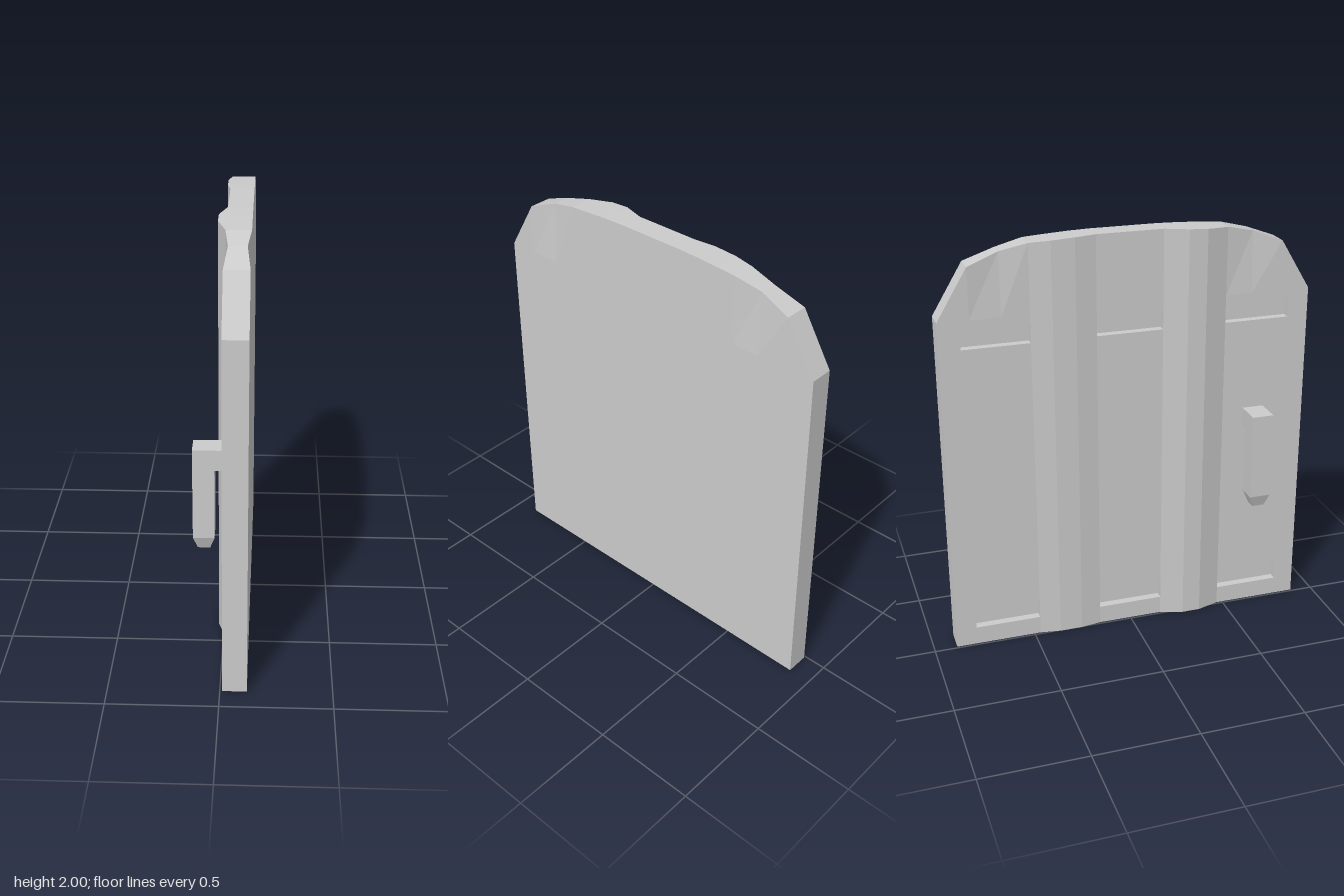
import * as THREE from 'three';

const material = new THREE.MeshStandardMaterial({ color: 0xcccccc, flatShading: true });

// Outline of the rounded top: [distance from centre, height]
const TOP = [[0, 2], [0.16, 2], [0.27, 1.997], [0.36, 1.992], [0.47, 1.985], [0.6, 1.955], [0.745, 1.9], [0.89, 1.66]];
// Ribbed face: [z, x]
const RIBS = [[-0.89, 0.01], [-0.47, 0.01], [-0.37, -0.005], [-0.26, -0.005], [-0.16, 0.01],
  [0.16, 0.01], [0.27, -0.025], [0.36, -0.025], [0.47, 0.01], [0.89, 0.01]];
const COLUMNS = [-0.89, -0.79, -0.745, -0.6, -0.47, -0.37, -0.26, -0.16,
  0.16, 0.27, 0.36, 0.47, 0.6, 0.745, 0.79, 0.89];
const SLOT_Z = [[-0.79, -0.47], [-0.16, 0.16], [0.47, 0.79]];
const SLOT_Y = [[0.09, 0.185], [1.525, 1.62]];
const FLAT = 0.12, FACE = 0.01, SLOT_FLOOR = 0.05;

function lerpTable(table, t) {
  for (let i = 1; i < table.length; i++) {
    const [a, va] = table[i - 1], [b, vb] = table[i];
    if (t <= b) return va + (vb - va) * (t - a) / (b - a);
  }
  return table[table.length - 1][1];
}

function quadGeometry(build) {
  const pos = [];
  const quad = (a, b, c, d, flip = false) => {
    if (flip) [a, b, c, d] = [d, c, b, a];
    pos.push(...a, ...b, ...c, ...a, ...c, ...d);
  };
  build(quad);
  const g = new THREE.BufferGeometry();
  g.setAttribute('position', new THREE.Float32BufferAttribute(pos, 3));
  g.computeVertexNormals();
  return g;
}

function panelGeometry() {
  const topY = z => lerpTable(TOP, Math.abs(z));
  const rows = z => [0, ...SLOT_Y.flat(), 1.66, topY(z)];
  const last = 6;
  // the upper corners are pinched slightly thinner
  const pinch = (z, row) => (row === last && Math.abs(z) === 0.6 ? 0.015 : 0);
  const rib = (z, row) => [lerpTable(RIBS, z) + pinch(z, row), rows(z)[row], z];
  const flat = (z, row) => [FLAT - pinch(z, row), rows(z)[row], z];

  return quadGeometry(quad => {
    for (let i = 0; i < COLUMNS.length - 1; i++) {
      const z0 = COLUMNS[i], z1 = COLUMNS[i + 1], mid = (z0 + z1) / 2;
      const overSlot = SLOT_Z.some(([a, b]) => mid > a && mid < b);
      for (let r = 0; r < last; r++) {
        quad(flat(z0, r), flat(z1, r), flat(z1, r + 1), flat(z0, r + 1), true);
        if (overSlot && (r === 1 || r === 3)) continue;
        quad(rib(z0, r), rib(z1, r), rib(z1, r + 1), rib(z0, r + 1));
      }
      // top and bottom edges
      quad(rib(z0, last), rib(z1, last), flat(z1, last), flat(z0, last));
      quad(rib(z0, 0), rib(z1, 0), flat(z1, 0), flat(z0, 0), true);
    }
    // upright side edges
    for (const z of [-0.89, 0.89]) {
      quad([FLAT, 0, z], [FACE, 0, z], [FACE, 1.66, z], [FLAT, 1.66, z], z > 0);
    }
    // recessed slots
    for (const [z0, z1] of SLOT_Z) for (const [y0, y1] of SLOT_Y) {
      const a = FACE, b = SLOT_FLOOR;
      quad([b, y0, z0], [b, y0, z1], [b, y1, z1], [b, y1, z0]);
      for (const z of [z0, z1]) quad([a, y0, z], [b, y0, z], [b, y1, z], [a, y1, z], z === z1);
      for (const y of [y0, y1]) quad([a, y, z0], [a, y, z1], [b, y, z1], [b, y, z0], y === y1);
    }
  });
}

function createHandle() {
  const handle = new THREE.Group();
  handle.name = 'handle';

  // hooked grip
  const hook = new THREE.Shape([[-0.125, 0.655], [-0.03, 0.655], [-0.03, 0.985], [0.012, 0.985], [0.012, 1.08], [-0.125, 1.08]]
    .map(([x, y]) => new THREE.Vector2(x, y)));
  const gripGeo = new THREE.ExtrudeGeometry(hook, { depth: 0.105, bevelEnabled: false });
  gripGeo.translate(0, 0, 0.575);
  const grip = new THREE.Mesh(gripGeo, material);
  grip.name = 'handleGrip';

  // tapered tip
  const tipGeo = new THREE.CylinderGeometry(Math.SQRT1_2, Math.SQRT1_2 * 0.57, 0.06, 4);
  tipGeo.rotateY(Math.PI / 4).scale(0.095, 1, 0.105).translate(-0.0775, 0.625, 0.6275);
  const tip = new THREE.Mesh(tipGeo, material);
  tip.name = 'handleTip';

  handle.add(grip, tip);
  return handle;
}

export function createModel() {
  const model = new THREE.Group();
  model.name = 'door';
  const panel = new THREE.Mesh(panelGeometry(), material);
  panel.name = 'doorPanel';
  model.add(panel, createHandle());
  return model;
}
